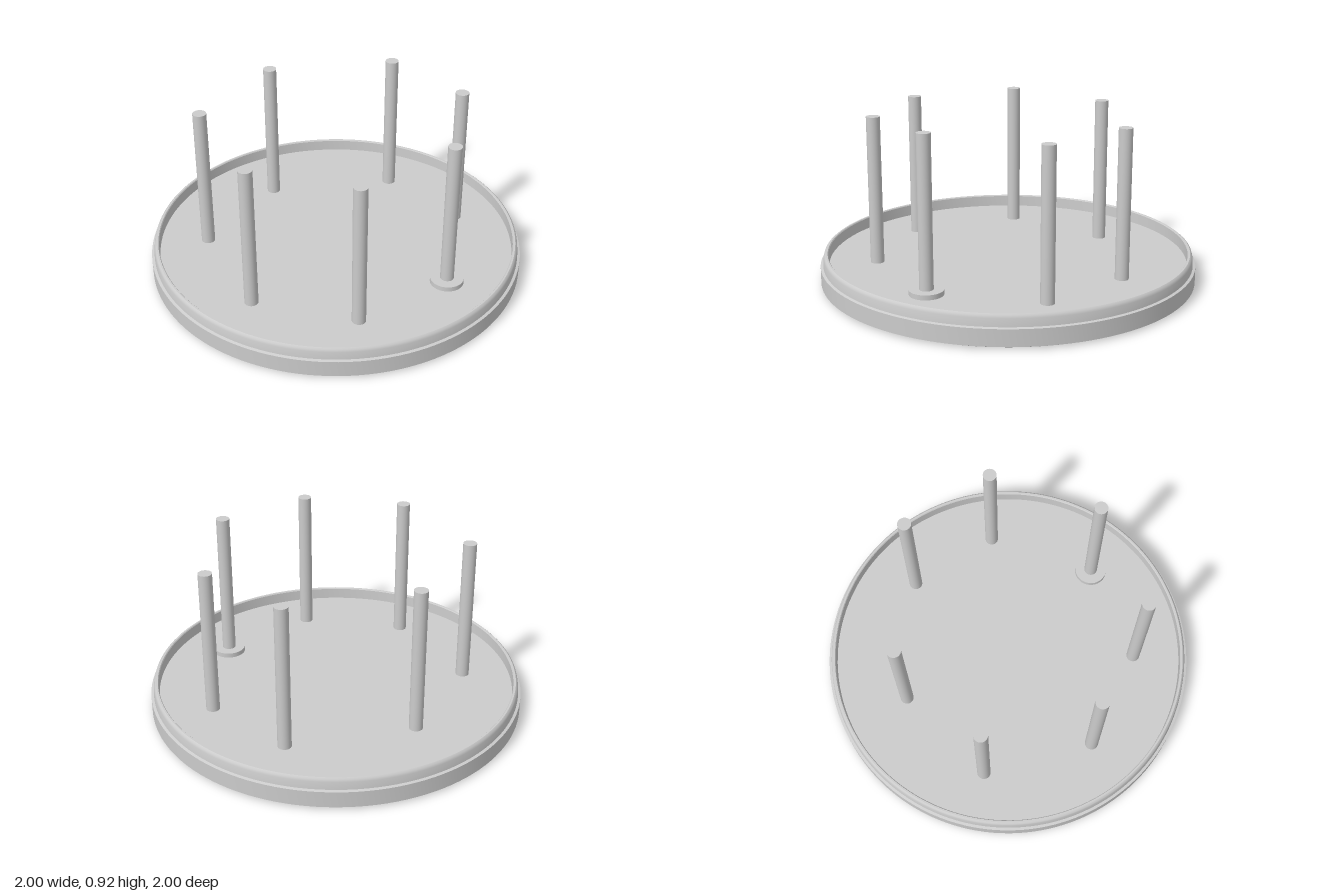
import * as THREE from 'three';
import { toCreasedNormals } from 'three/addons/utils/BufferGeometryUtils.js';

const FLOOR = 0.1;
const POST_RADIUS = 0.036;
const POST_HEIGHT = 0.79;
const COLLAR_HEIGHT = 0.026;

export function createModel() {
  const group = new THREE.Group();
  const material = new THREE.MeshStandardMaterial({ color: 0xcccccc });

  const add = (name, geometry, x = 0, y = 0, z = 0) => {
    const mesh = new THREE.Mesh(geometry, material);
    mesh.name = name;
    mesh.position.set(x, y, z);
    group.add(mesh);
  };

  // Round base: flat underside, stepped side, rounded raised rim, sunken floor
  const profile = [
    [0, 0], [0.85, 0], [0.985, 0.005], [1, 0.012],
    [1, FLOOR], [0.986, 0.104],
    [0.982, 0.145], [0.978, 0.158], [0.97, 0.165],
    [0.961, 0.165], [0.957, 0.16], [0.955, FLOOR], [0, FLOOR],
  ].map(([r, y]) => new THREE.Vector2(r, y));
  add('base', toCreasedNormals(new THREE.LatheGeometry(profile, 128), 0.6));

  // Ring of upright posts
  const post = new THREE.CylinderGeometry(POST_RADIUS, POST_RADIUS, POST_HEIGHT, 32);
  const places = [
    [0.003, 0.7], [-0.51, 0.47], [-0.69, -0.11],
    [-0.28, -0.55], [0.403, -0.54], [0.695, -0.115],
  ];
  for (const [x, z] of places) add('post', post, x, FLOOR + POST_HEIGHT / 2, z);

  // One post stands on a round collar
  const [cx, cz] = [0.51, 0.46];
  add('collar', new THREE.CylinderGeometry(0.088, 0.088, COLLAR_HEIGHT, 48), cx, FLOOR + COLLAR_HEIGHT / 2, cz);
  add('raisedPost', post, cx, FLOOR + COLLAR_HEIGHT + POST_HEIGHT / 2, cz);

  return group;
}
